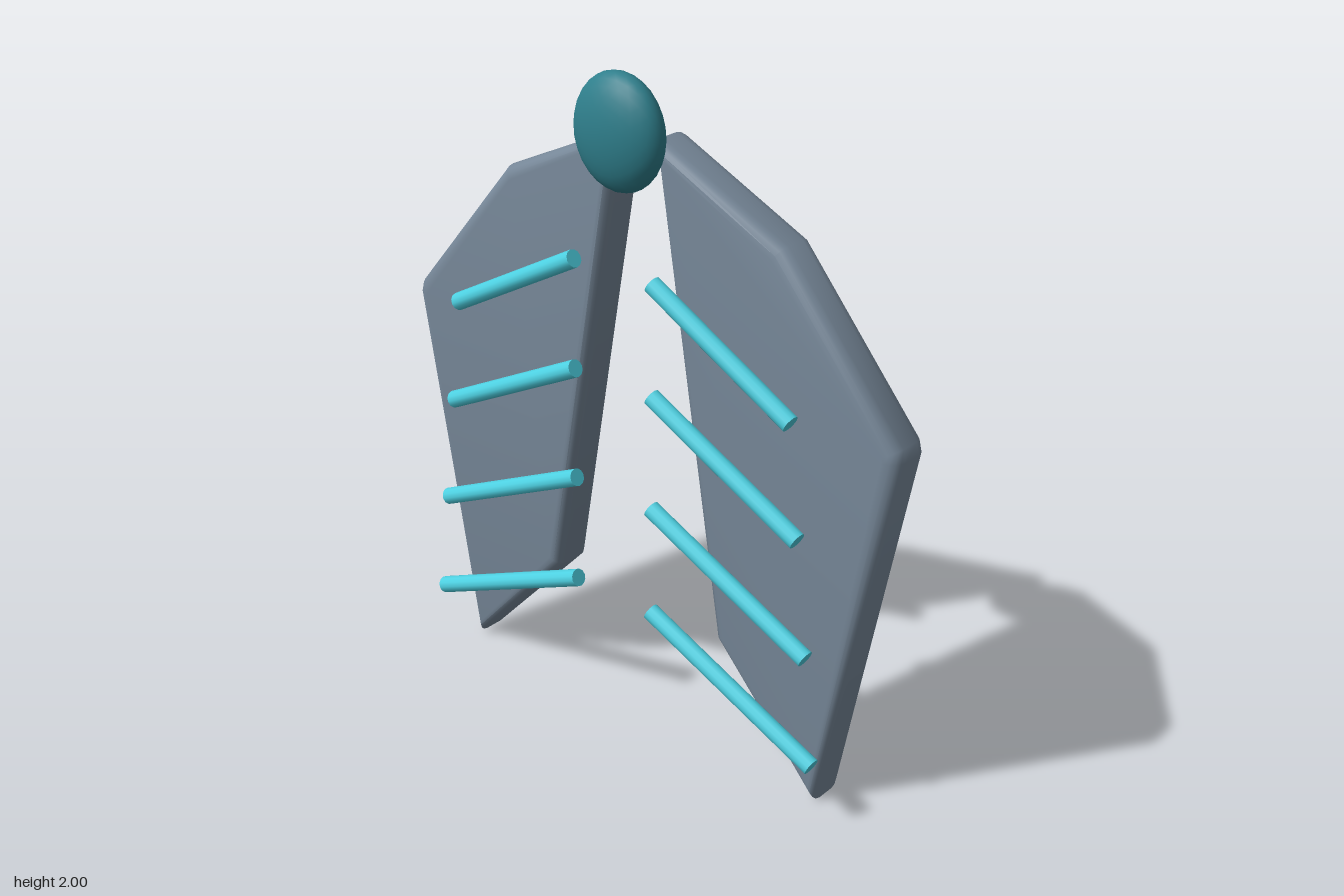
import * as THREE from 'three';
import { toCreasedNormals } from 'three/addons/utils/BufferGeometryUtils.js';

const panelMaterial = new THREE.MeshStandardMaterial({ color: 0x778899 });
const rodMaterial = new THREE.MeshStandardMaterial({ color: 0x4dd0e1 });
const ballMaterial = new THREE.MeshStandardMaterial({ color: 0x2f7f8c });

// Outline of the left panel; the right one is mirrored in x
const OUTLINE = [
  [0.066, 1.815], [0.303, 0.392], [0.669, 0.0], [0.877, 1.14], [0.868, 1.175], [0.488, 1.62],
];

// Axis of each left rod: inner x, y and outer x, y
const RODS = [
  [0.14, 1.46, 0.605, 1.205],
  [0.14, 1.133, 0.642, 0.878],
  [0.14, 0.79, 0.685, 0.533],
  [0.14, 0.457, 0.722, 0.2],
];

// Flat slab with rounded rims
function makePanel(side) {
  const shape = new THREE.Shape(OUTLINE.map(([x, y]) => new THREE.Vector2(side * x, y)));
  const bevel = 0.04, thickness = 0.138;
  const geometry = new THREE.ExtrudeGeometry(shape, {
    depth: thickness - 2 * bevel,
    bevelThickness: bevel,
    bevelSize: bevel,
    bevelOffset: -bevel,
    bevelSegments: 4,
  });
  geometry.translate(0, 0, bevel - 0.131);
  return new THREE.Mesh(toCreasedNormals(geometry, 0.6), panelMaterial);
}

// Thin slanted rod in front of a panel
function makeRod(side, [x1, y1, x2, y2]) {
  const a = new THREE.Vector3(side * x1, y1, 0.09);
  const b = new THREE.Vector3(side * x2, y2, 0.09);
  const direction = b.clone().sub(a);
  const rod = new THREE.Mesh(
    new THREE.CylinderGeometry(0.026, 0.026, direction.length(), 12), rodMaterial);
  rod.position.copy(a).add(b).multiplyScalar(0.5);
  rod.quaternion.setFromUnitVectors(new THREE.Vector3(0, 1, 0), direction.normalize());
  return rod;
}

export function createModel() {
  const model = new THREE.Group();

  for (const [side, label] of [[1, 'left'], [-1, 'right']]) {
    const panel = makePanel(side);
    panel.name = `${label}Panel`;
    model.add(panel);
    RODS.forEach((ends, i) => {
      const rod = makeRod(side, ends);
      rod.name = `${label}Rod${i + 1}`;
      model.add(rod);
    });
  }

  // Flattened faceted ball at the top
  const ball = new THREE.Mesh(new THREE.IcosahedronGeometry(1, 4), ballMaterial);
  ball.name = 'topBall';
  ball.scale.set(0.148, 0.163, 0.073);
  ball.position.set(0, 1.837, 0.06);
  model.add(ball);

  return model;
}
